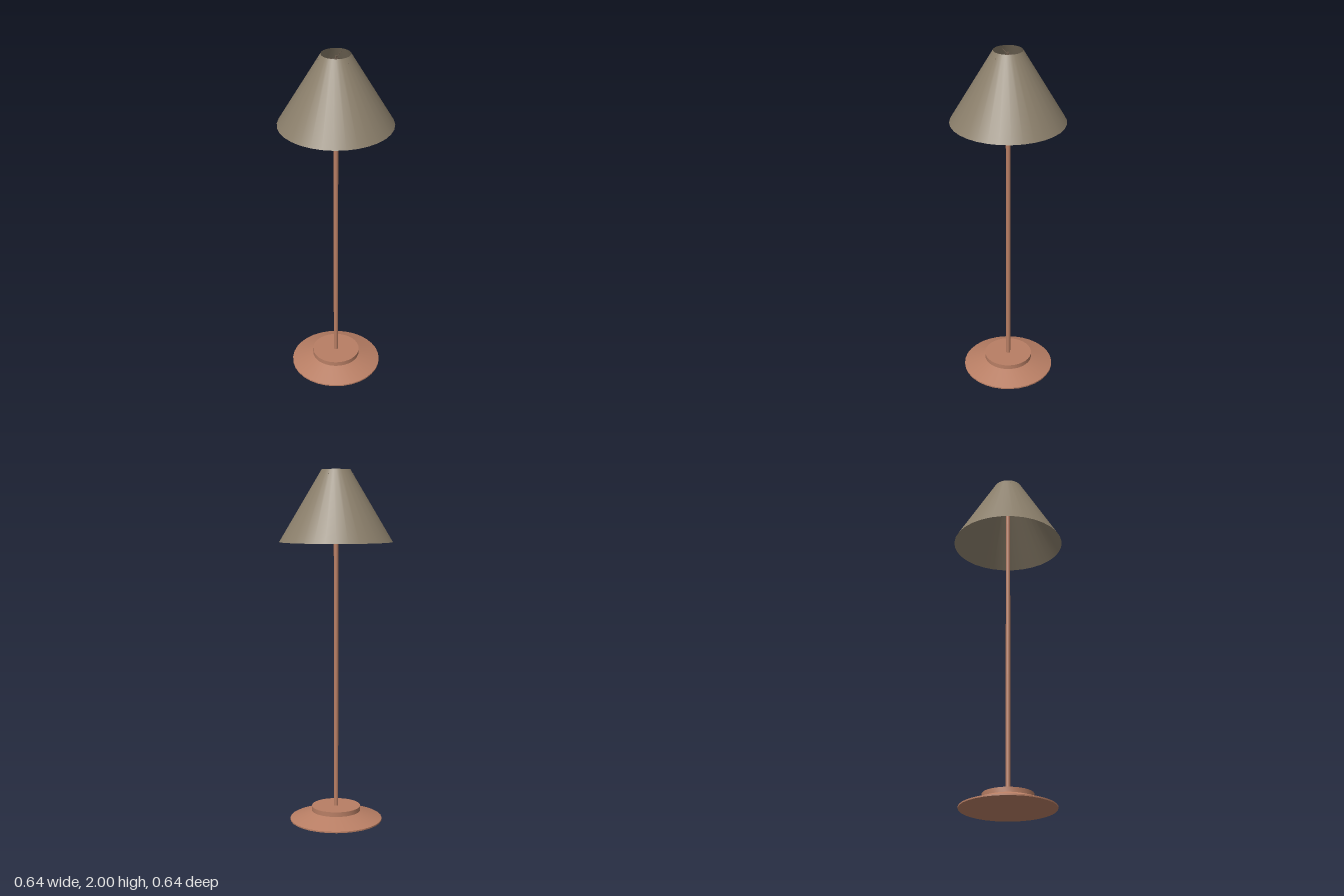
import * as THREE from 'three';
import { toCreasedNormals } from 'three/addons/utils/BufferGeometryUtils.js';

export function createModel() {
  const lamp = new THREE.Group();
  lamp.name = 'floorLamp';

  const material = (name, color) => {
    const m = new THREE.MeshStandardMaterial({ color });
    m.name = name;
    return m;
  };
  const copper = material('copper', 0xb87e64);
  const fabric = material('shadeFabric', 0x8b7f6b);
  fabric.side = THREE.DoubleSide;
  const glass = material('blueGlass', 0x3f7898);
  const wire = material('darkWire', 0x6c5c4e);

  const add = (name, geometry, mat, y = 0, parent = lamp) => {
    const mesh = new THREE.Mesh(geometry, mat);
    mesh.name = name;
    mesh.position.y = y;
    parent.add(mesh);
    return mesh;
  };
  const lathe = (points, sides) =>
    new THREE.LatheGeometry(points.map(([r, y]) => new THREE.Vector2(r, y)), sides);

  // Weighted base: sloping skirt with a raised drum
  add('base', toCreasedNormals(lathe([
    [0, 0], [0.265, 0], [0.265, 0.008], [0.14, 0.053], [0.14, 0.08], [0, 0.08],
  ], 32), 0.3), copper);

  // Stem and bulb holder
  add('stem', new THREE.CylinderGeometry(0.013, 0.013, 1.76, 16), copper, 0.94);
  add('socket', new THREE.CylinderGeometry(0.02, 0.02, 0.07, 16), copper, 1.855);

  // Open conical shade
  add('shade', lathe([[0.318, 1.6], [0.08, 2]], 32), fabric);

  // Bulb: round head narrowing into a neck
  add('bulb', lathe([
    [0.016, 1.87], [0.02, 1.885], [0.031, 1.902], [0.036, 1.92], [0.034, 1.933],
    [0.027, 1.945], [0.015, 1.953], [0, 1.956],
  ], 24), glass);

  // Wire harp looping over the bulb
  const harpPath = new THREE.CatmullRomCurve3([
    [-0.016, 1.83], [-0.038, 1.86], [-0.045, 1.91], [-0.034, 1.955], [0, 1.975],
    [0.034, 1.955], [0.045, 1.91], [0.038, 1.86], [0.016, 1.83],
  ].map(([x, y]) => new THREE.Vector3(x, y, 0)));
  add('harp', new THREE.TubeGeometry(harpPath, 40, 0.002, 6), wire);

  // Three spokes carrying the shade
  const spider = new THREE.Group();
  spider.name = 'shadeSupport';
  lamp.add(spider);
  const spokeLength = 0.096;
  for (let i = 0; i < 3; i++) {
    const geometry = new THREE.CylinderGeometry(0.002, 0.002, spokeLength, 6)
      .rotateX(Math.PI / 2)
      .translate(0, 0, spokeLength / 2)
      .rotateY(i * Math.PI * 2 / 3);
    add('spoke', geometry, wire, 1.975, spider);
  }
  add('finial', new THREE.CylinderGeometry(0.005, 0.006, 0.018, 12), wire, 1.979, spider);

  return lamp;
}
